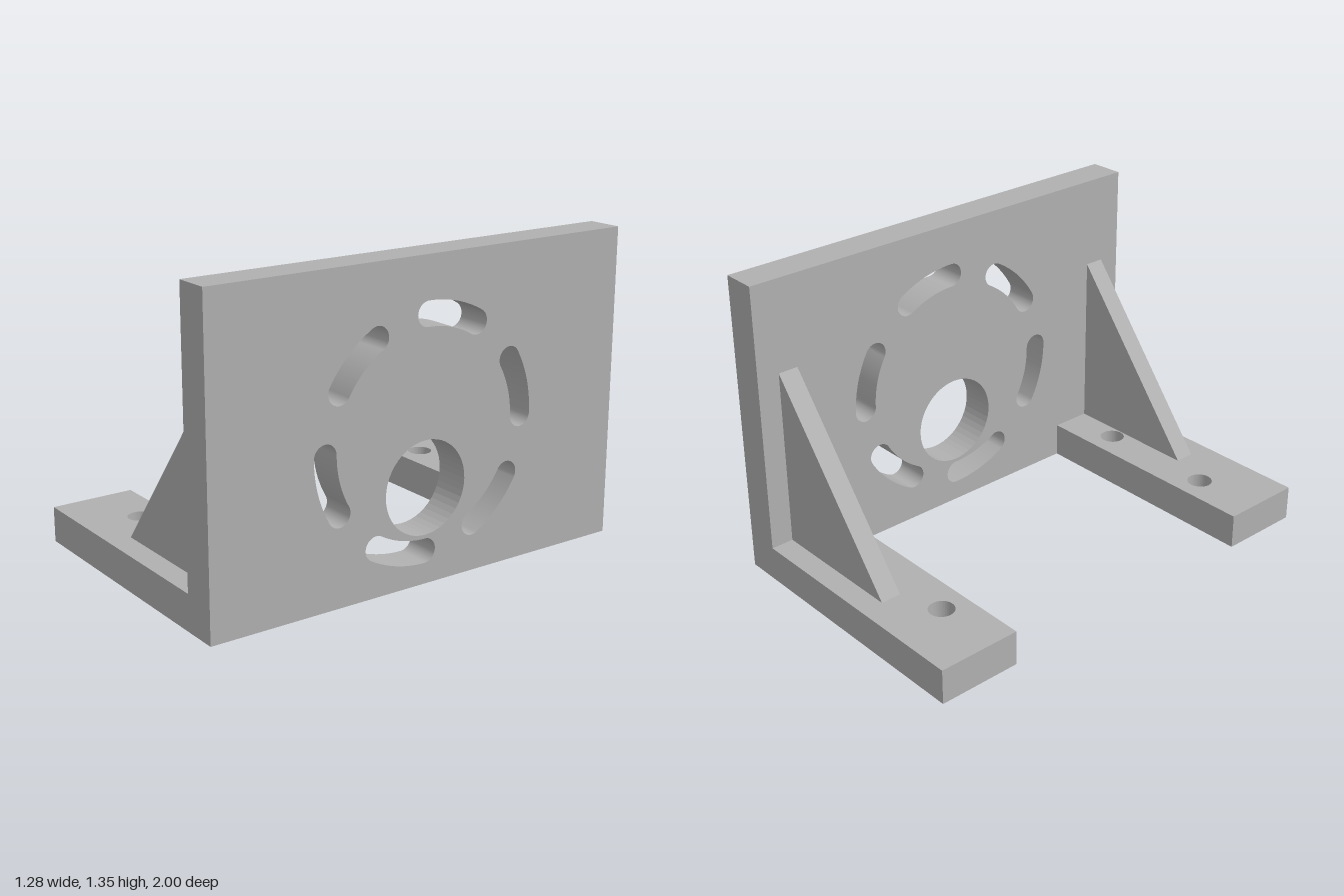
import * as THREE from 'three';

const W = 0.64;        // half width in x
const PLATE_X = 0.485; // inner face of the upright plate
const FOOT_H = 0.155;

const steel = new THREE.MeshStandardMaterial({ color: 0xb0b0b0 });
steel.name = 'grey steel';

function polygon(points) {
  return new THREE.Shape(points.map(([x, y]) => new THREE.Vector2(x, y)));
}

function roundHole(x, y, r) {
  return new THREE.Path().absarc(x, y, r, 0, Math.PI * 2, true);
}

// Curved slot with round ends, running from angle a0 to a1 around (0, cy)
function arcSlot(cy, radius, half, a0, a1) {
  const end = (a) => [radius * Math.cos(a), cy + radius * Math.sin(a)];
  const path = new THREE.Path();
  path.absarc(0, cy, radius + half, a0, a1, false);
  path.absarc(...end(a1), half, a1, a1 + Math.PI, false);
  path.absarc(0, cy, radius - half, a1, a0, true);
  path.absarc(...end(a0), half, a0 + Math.PI, a0 + Math.PI * 2, false);
  return path;
}

function extrude(shape, depth) {
  return new THREE.ExtrudeGeometry(shape, { depth, bevelEnabled: false, curveSegments: 24 });
}

function addPart(group, name, geometry) {
  const mesh = new THREE.Mesh(geometry, steel);
  mesh.name = name;
  group.add(mesh);
}

export function createModel() {
  const group = new THREE.Group();
  group.name = 'motorBracket';

  // Upright plate with a bore and a ring of six slots
  const plate = polygon([[-1, 0], [1, 0], [1, 1.345], [-1, 1.345]]);
  plate.holes.push(roundHole(0, 0.408, 0.198));
  for (let i = 0; i < 6; i++) {
    const start = Math.PI / 3 - (i * Math.PI) / 3;
    plate.holes.push(arcSlot(0.627, 0.485, 0.052, start, start + Math.PI / 6));
  }
  addPart(group, 'uprightPlate',
    extrude(plate, W - PLATE_X).rotateY(Math.PI / 2).translate(PLATE_X, 0, 0));

  for (const [side, s] of [['front', 1], ['back', -1]]) {
    // Foot with two bolt holes
    const near = -0.185, far = 0.185;
    const foot = polygon([[-W, near], [PLATE_X, near], [PLATE_X, far], [-W, far]]);
    for (const x of [-0.33, 0.23]) foot.holes.push(roundHole(x, s * 0.065, 0.055));
    addPart(group, side + 'Foot',
      extrude(foot, FOOT_H).rotateX(-Math.PI / 2).translate(0, 0, s * 0.815));

    // Triangular gusset
    const gusset = polygon([[-0.14, FOOT_H], [PLATE_X, FOOT_H], [PLATE_X, 0.94]]);
    addPart(group, side + 'Gusset', extrude(gusset, 0.09).translate(0, 0, s * 0.855 - 0.045));
  }
  return group;
}
